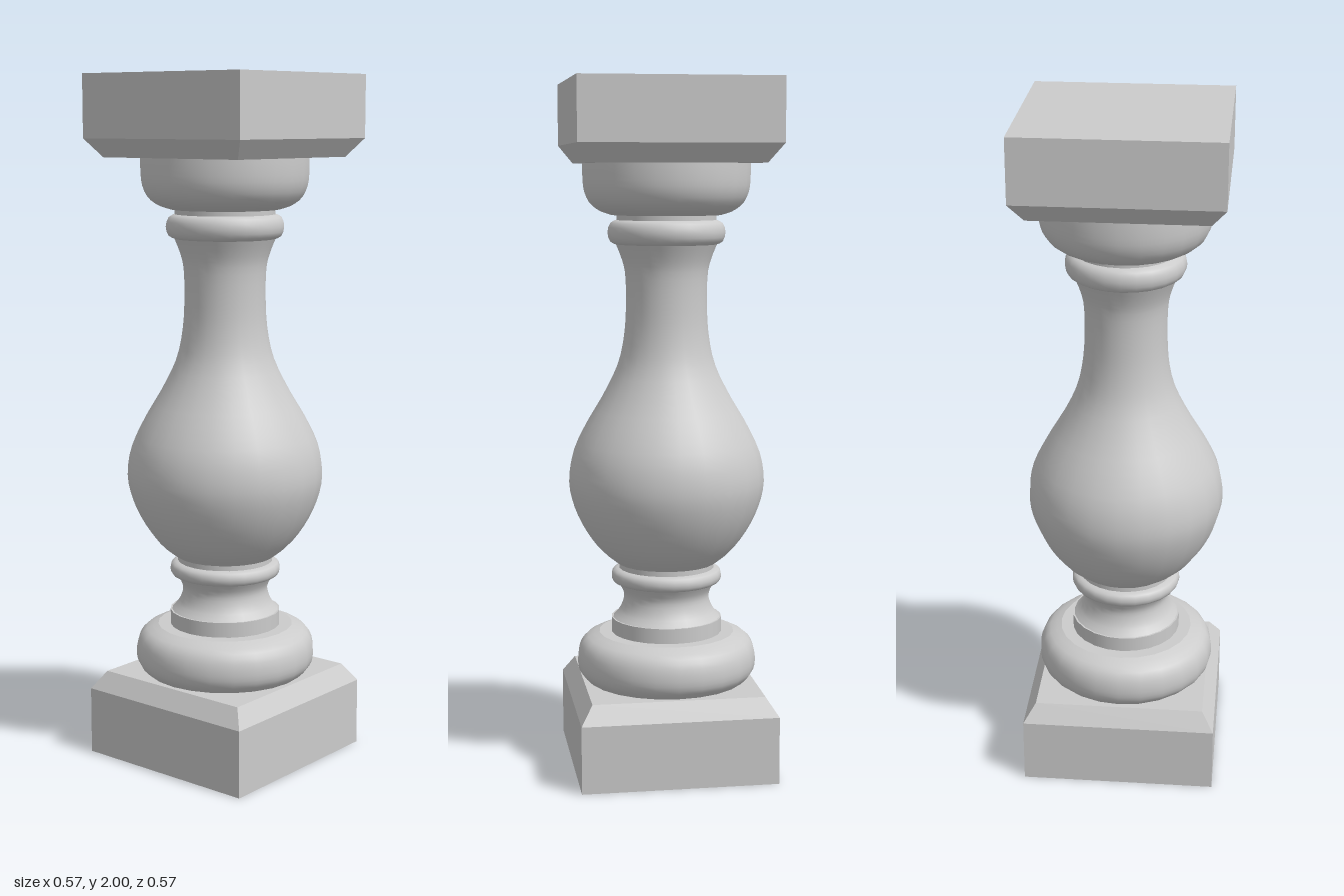
import * as THREE from 'three';

const SIDES = 24;
const material = new THREE.MeshStandardMaterial({ color: 0xcccccc });
const flatMaterial = new THREE.MeshStandardMaterial({ color: 0xcccccc, flatShading: true });
const toPoints = (pairs) => pairs.map(([r, y]) => new THREE.Vector2(r, y));

function addMesh(group, name, geometry, mat) {
  const mesh = new THREE.Mesh(geometry, mat);
  mesh.name = name;
  group.add(mesh);
}

// Round turned section; the profile is [radius, height] from bottom to top.
// With steps, the profile is smoothed through its points.
function turned(group, name, profile, steps = 0) {
  let points = toPoints(profile);
  if (steps) points = new THREE.SplineCurve(points).getPoints(steps);
  addMesh(group, name, new THREE.LatheGeometry(points, SIDES), material);
}

// Square block; the profile is [half width, height] from bottom to top.
function block(group, name, profile) {
  const points = toPoints(profile.map(([h, y]) => [h * Math.SQRT2, y]));
  const geometry = new THREE.LatheGeometry(points, 4, Math.PI / 4).toNonIndexed();
  geometry.computeVertexNormals();
  addMesh(group, name, geometry, flatMaterial);
}

// Flat ring facing up or down that closes a step between two radii.
function step(group, name, rFrom, rTo, y) {
  turned(group, name, [[rFrom, y], [rTo, y]]);
}

export function createModel() {
  const model = new THREE.Group();
  model.name = 'baluster';

  // Square plinth and top block with chamfered inner edges
  block(model, 'plinth', [[0, 0], [0.285, 0], [0.285, 0.197], [0.25, 0.25], [0, 0.25]]);
  block(model, 'topBlock', [[0, 1.767], [0.245, 1.767], [0.285, 1.82], [0.285, 2], [0, 2]]);

  // Base moulding
  turned(model, 'baseTorus', [
    [0.235, 0.25], [0.257, 0.273], [0.265, 0.305], [0.26, 0.345], [0.24, 0.375], [0.2, 0.393],
  ], 12);
  step(model, 'baseTorusTop', 0.2, 0.155, 0.393);
  turned(model, 'baseFillet', [[0.163, 0.393], [0.163, 0.437]]);
  step(model, 'baseFilletTop', 0.163, 0.14, 0.437);
  turned(model, 'scotia', [
    [0.158, 0.437], [0.138, 0.46], [0.127, 0.49], [0.128, 0.515], [0.143, 0.543],
  ], 10);
  turned(model, 'lowerRing', [
    [0.14, 0.54], [0.157, 0.546], [0.163, 0.563], [0.157, 0.58], [0.14, 0.586],
  ], 8);
  turned(model, 'lowerCollar', [[0.14, 0.583], [0.14, 0.602]]);

  // Vase-shaped body and neck
  step(model, 'bodyUnderside', 0.13, 0.145, 0.602);
  turned(model, 'body', [
    [0.145, 0.602], [0.197, 0.645], [0.243, 0.71], [0.274, 0.78], [0.287, 0.85],
    [0.275, 0.93], [0.238, 1.01], [0.185, 1.1], [0.142, 1.19], [0.123, 1.28],
    [0.118, 1.37], [0.12, 1.45], [0.13, 1.495], [0.147, 1.538],
  ], 36);

  // Upper moulding
  turned(model, 'upperRing', [
    [0.145, 1.536], [0.163, 1.545], [0.171, 1.571], [0.163, 1.597], [0.145, 1.606],
  ], 8);
  turned(model, 'upperCollar', [[0.145, 1.603], [0.145, 1.622]]);
  step(model, 'capitalUnderside', 0.14, 0.158, 1.62);
  turned(model, 'capital', [
    [0.158, 1.62], [0.193, 1.632], [0.222, 1.655], [0.238, 1.69], [0.242, 1.73], [0.242, 1.767],
  ], 12);

  return model;
}
